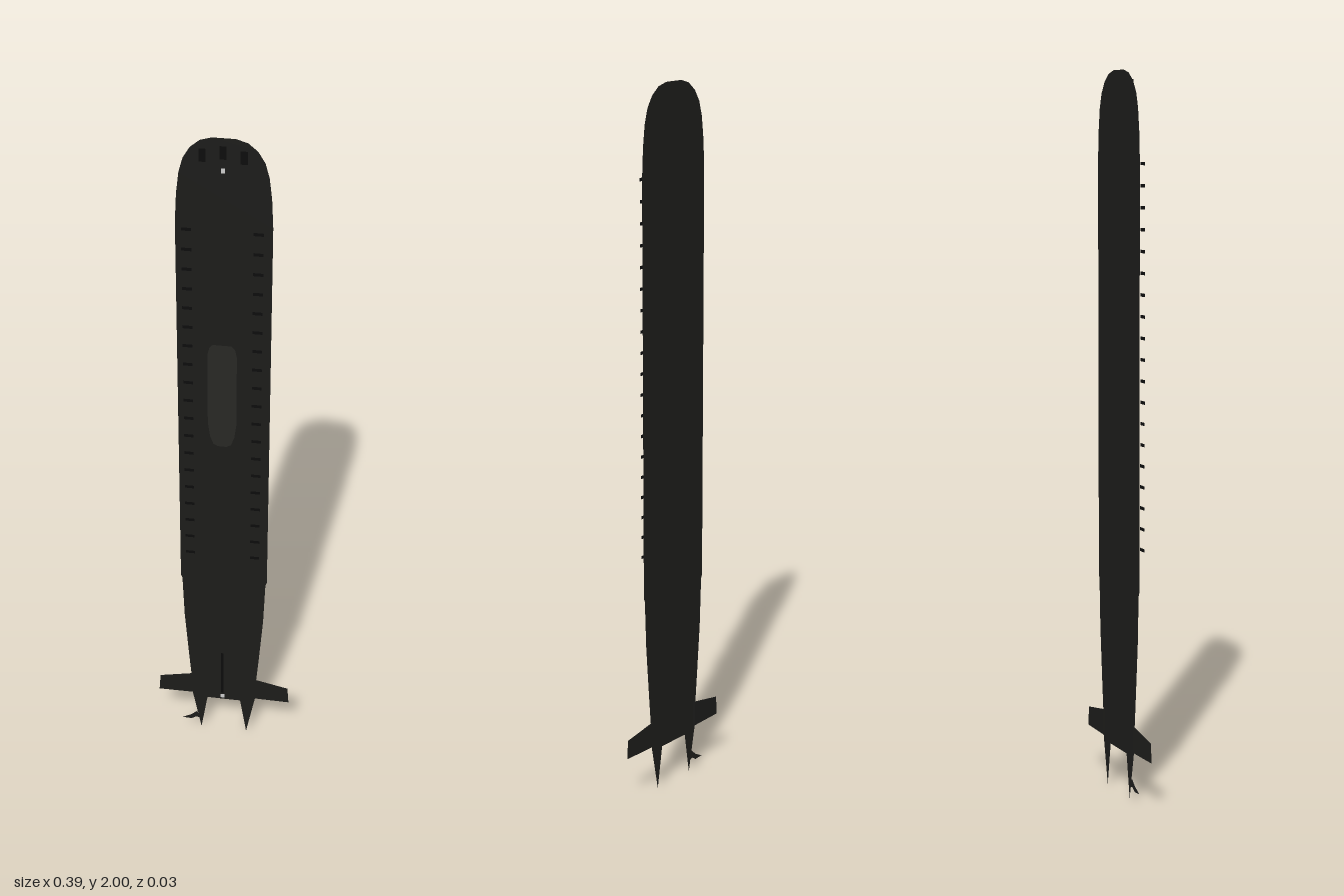
import * as THREE from 'three';

const paint = (color) => new THREE.MeshStandardMaterial({ color, side: THREE.DoubleSide });
const HULL = paint(0x1c1c1a), SAIL = paint(0x282824), DARK = paint(0x0c0c0c), LIGHT = paint(0xcccccc);
const BACK_Z = -0.0135, FRONT_Z = 0.0135;

// flat sheet from an outline
function sheet(name, points, z, material) {
  const shape = new THREE.Shape(points.map(([x, y]) => new THREE.Vector2(x, y)));
  const mesh = new THREE.Mesh(new THREE.ShapeGeometry(shape), material);
  mesh.name = name;
  mesh.position.z = z;
  return mesh;
}

// full outline from the +x half, listed top to bottom
const mirrored = (half) => [...half, ...half.map(([x, y]) => [-x, y]).reverse()];

const rect = (x, y, w, h) => [
  [x - w / 2, y - h / 2], [x + w / 2, y - h / 2], [x + w / 2, y + h / 2], [x - w / 2, y + h / 2],
];

// thin wedge fin: thick at the root, sharp at the tip
function fin(side) {
  const root = 0.09, tip = 0.197;
  const geo = new THREE.BoxGeometry(1, 1, 1);
  const p = geo.attributes.position;
  for (let i = 0; i < p.count; i++) {
    const out = p.getX(i) * side > 0;
    const up = p.getY(i) > 0;
    const thick = out ? 0.0008 : 0.003;
    p.setXYZ(i, side * (out ? (up ? tip - 0.004 : tip) : root),
      up ? (out ? 0.195 : 0.215) : 0.14,
      (out ? -0.0128 : -0.015) + Math.sign(p.getZ(i)) * thick / 2);
  }
  geo.computeVertexNormals();
  const mesh = new THREE.Mesh(geo, HULL);
  mesh.name = side > 0 ? 'leftFin' : 'rightFin';
  return mesh;
}

export function createModel() {
  const model = new THREE.Group();
  model.name = 'submarine';

  // hull: blunt round bow, parallel sides, tapered stern
  model.add(sheet('hull', mirrored([
    [0.03, 2], [0.06, 1.991], [0.085, 1.97], [0.103, 1.94], [0.114, 1.9], [0.121, 1.84], [0.125, 1.76],
    [0.125, 0.6], [0.121, 0.59], [0.116, 0.45], [0.105, 0.3], [0.097, 0.2], [0.088, 0.125],
  ]), BACK_Z, HULL));

  // stern spikes and fins
  for (const side of [-1, 1]) {
    model.add(sheet(side > 0 ? 'leftSternSpike' : 'rightSternSpike',
      [[side * 0.097, 0.15], [side * 0.046, 0.15], [side * 0.069, 0]], BACK_Z - 0.0005, HULL));
    model.add(fin(side));
  }
  model.add(sheet('propellerBlade',
    [[-0.127, 0.03], [-0.1, 0.045], [-0.082, 0.062], [-0.072, 0.035], [-0.085, 0.038], [-0.1, 0.028]],
    BACK_Z, HULL));

  // sail plate, rounded at the top and tapered at the bottom
  model.add(sheet('sail', mirrored([
    [0.025, 1.418], [0.034, 1.408], [0.039, 1.385], [0.039, 1.17], [0.033, 1.125], [0.024, 1.1], [0.012, 1.093],
  ]), FRONT_Z + 0.003, SAIL));

  // rows of vents along both sides
  const vents = new THREE.Group();
  vents.name = 'vents';
  for (const x of [-0.092, 0.092])
    for (let i = 0; i < 19; i++)
      vents.add(sheet('vent', rect(x, 0.71 + i * 0.058, 0.026, 0.009), FRONT_Z - 0.001, DARK));
  model.add(vents);

  // bow windows, stern ridge and two lamps
  for (const x of [-0.052, 0, 0.052])
    model.add(sheet('bowWindow', rect(x, x ? 1.957 : 1.967, 0.018, 0.036), 0, DARK));
  model.add(sheet('sternRidge', rect(0, 0.255, 0.008, 0.16), FRONT_Z, DARK));
  model.add(sheet('bowLamp', rect(0, 1.918, 0.01, 0.014), 0, LIGHT));
  model.add(sheet('sternLamp', rect(0, 0.163, 0.012, 0.014), FRONT_Z, LIGHT));
  return model;
}
